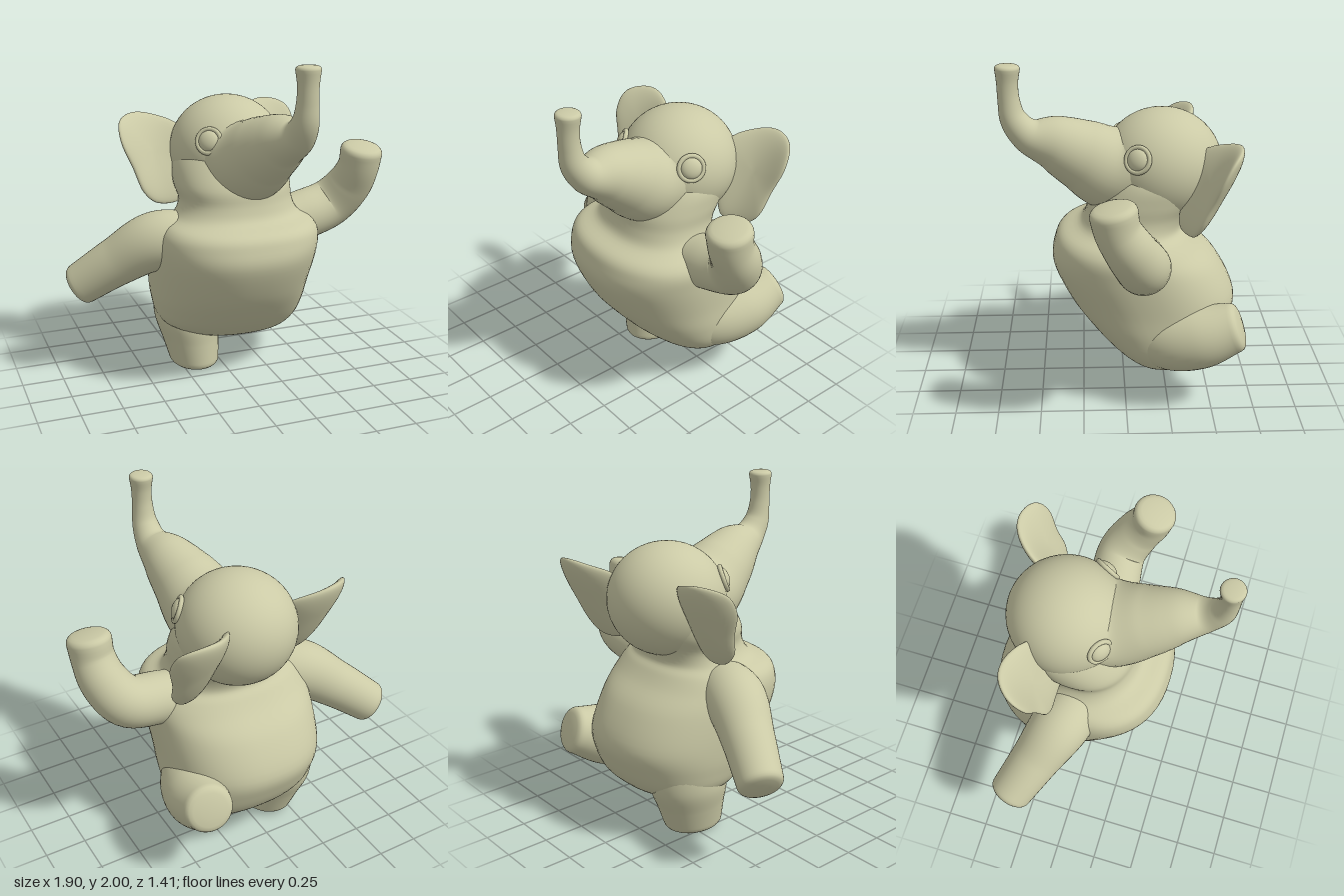
import * as THREE from 'three';

const V = (x, y, z) => new THREE.Vector3(x, y, z);
const SIDES = 40;

// Closed smooth surface through a list of loops, capped at both ends
function loft(rings) {
  const n = rings[0].length, pos = [], index = [];
  rings.forEach(r => r.forEach(p => pos.push(p.x, p.y, p.z)));
  for (let i = 0; i < rings.length - 1; i++) {
    for (let j = 0; j < n; j++) {
      const k = (j + 1) % n, a = i * n + j, b = i * n + k;
      index.push(a, b, a + n, b, b + n, a + n);
    }
  }
  [rings[0], rings[rings.length - 1]].forEach((ring, end) => {
    const c = ring.reduce((s, p) => s.add(p), V(0, 0, 0)).divideScalar(n);
    const id = pos.length / 3, base = end * (rings.length - 1) * n;
    pos.push(c.x, c.y, c.z);
    for (let j = 0; j < n; j++) {
      const a = base + j, b = base + (j + 1) % n;
      if (end) index.push(a, b, id); else index.push(b, a, id);
    }
  });
  const g = new THREE.BufferGeometry();
  g.setAttribute('position', new THREE.Float32BufferAttribute(pos, 3));
  g.setIndex(index);
  g.computeVertexNormals();
  return g;
}

// Limb of varying radius along a curve, with a softly rounded end; rows are x, y, z, radius
function limb(rows, steps = 36) {
  const curve = new THREE.CatmullRomCurve3(rows.map(r => V(r[0], r[1], r[2])));
  const radii = new THREE.CatmullRomCurve3(rows.map((r, i) => V(r[3], i, 0)), false, 'catmullrom');
  const f = curve.computeFrenetFrames(steps);
  const ring = (i, scale, push) => {
    const u = i / steps, full = radii.getPoint(curve.getUtoTmapping(u)).x, r = full * scale;
    const c = curve.getPointAt(u).addScaledVector(f.tangents[i], push * full);
    return Array.from({ length: SIDES }, (_, j) => {
      const a = j / SIDES * Math.PI * 2;
      return c.clone().addScaledVector(f.normals[i], Math.cos(a) * r)
        .addScaledVector(f.binormals[i], Math.sin(a) * r);
    });
  };
  const rings = [];
  for (let i = 0; i <= steps; i++) rings.push(ring(i, 1, 0));
  [[0.98, 0.1], [0.93, 0.19], [0.85, 0.26], [0.7, 0.31], [0.35, 0.35]]
    .forEach(([scale, push]) => rings.push(ring(steps, scale, push)));
  return loft(rings);
}

// Body and neck from horizontal sections; rows are y, x min, x max, z min, z max
function bodyGeometry() {
  const rows = [
    [0.2, 0.0, 0.34, -0.36, -0.14],
    [0.23, -0.2, 0.44, -0.45, -0.02],
    [0.32, -0.37, 0.51, -0.56, 0.1],
    [0.45, -0.42, 0.53, -0.63, 0.22],
    [0.6, -0.44, 0.53, -0.66, 0.33],
    [0.8, -0.45, 0.54, -0.56, 0.42],
    [0.92, -0.44, 0.54, -0.44, 0.41],
    [0.99, -0.4, 0.5, -0.38, 0.37],
    [1.04, -0.32, 0.43, -0.34, 0.26],
    [1.12, -0.28, 0.4, -0.36, 0.22],
    [1.22, -0.3, 0.4, -0.42, 0.2],
    [1.34, -0.28, 0.385, -0.45, 0.13],
    [1.46, -0.2, 0.3, -0.4, 0.05],
  ];
  const range = k => new THREE.CatmullRomCurve3(rows.map(r => V(r[k], r[0], r[k + 1])), false, 'catmullrom');
  const xs = range(1), zs = range(3), rings = [], steps = 60;
  const soft = v => Math.sign(v) * Math.abs(v) ** 0.88;
  for (let i = 0; i <= steps; i++) {
    const x = xs.getPoint(i / steps), z = zs.getPoint(i / steps);
    rings.push(Array.from({ length: 56 }, (_, j) => {
      const a = j / 56 * Math.PI * 2;
      return V((x.x + x.z) / 2 + soft(Math.sin(a)) * (x.z - x.x) / 2, x.y,
        (z.x + z.z) / 2 + soft(Math.cos(a)) * (z.z - z.x) / 2);
    }));
  }
  return loft(rings);
}

// Cupped ear, leaning back at the top; side is 1 for left, -1 for right
function earGeometry(side) {
  const outline = new THREE.CatmullRomCurve3([
    [0.22, 0.13], [0.36, 0.205], [0.5, 0.22], [0.6, 0.18], [0.62, 0.08], [0.57, -0.08],
    [0.53, -0.22], [0.45, -0.29], [0.31, -0.28], [0.24, -0.08],
  ].map(p => V(p[0], p[1], 0)), true);
  const loop = outline.getPoints(48).slice(0, 48);
  if (side > 0) loop.reverse();
  const rings = [];
  for (let i = 0; i <= 20; i++) {
    const a = Math.PI * (0.02 + 0.96 * i / 20), s = Math.sin(a) ** 0.8;
    rings.push(loop.map(p => {
      const x = 0.42 + (p.x - 0.42) * s, y = p.y * s;
      const cup = 2 * (x - 0.44) ** 2;
      return V(x * side, y, -0.2 - 0.5 * y + cup - Math.cos(a) * 0.05);
    }));
  }
  return loft(rings);
}

export function createModel() {
  const clay = new THREE.MeshStandardMaterial({ color: 0xcbcaa6 });
  clay.name = 'pale olive clay';
  const model = new THREE.Group();
  model.name = 'elephant';
  const add = (name, geometry, parent = model) => {
    const m = new THREE.Mesh(geometry, clay);
    m.name = name;
    parent.add(m);
    return m;
  };

  add('body', bodyGeometry());

  // Lowered right arm and raised, bent left arm
  add('rightArm', limb([
    [-0.18, 0.88, -0.04, 0.16], [-0.42, 0.875, -0.12, 0.178],
    [-0.64, 0.74, -0.22, 0.15], [-0.845, 0.587, -0.32, 0.13]]));
  add('leftArm', limb([
    [0.25, 0.9, -0.05, 0.15], [0.5, 0.95, -0.07, 0.155], [0.7, 1.01, -0.08, 0.15],
    [0.795, 1.14, -0.01, 0.138], [0.82, 1.27, 0.06, 0.125], [0.825, 1.365, 0.08, 0.128]]));

  // Standing right leg, slightly deeper than wide
  const standing = limb([
    [0, 0.5, 0, 0.18], [0, 0.32, 0, 0.2], [0, 0.17, 0, 0.175], [0, 0.055, 0, 0.155]]);
  const p = standing.attributes.position;
  for (let i = 0; i < p.count; i++) {
    p.setX(i, p.getX(i) - 0.16 - 0.1 * p.getY(i));
    p.setZ(i, p.getZ(i) * 1.22 - 0.21 - 0.2 * p.getY(i));
  }
  standing.computeVertexNormals();
  add('rightLeg', standing);

  // Left leg kicked backwards
  add('leftLeg', limb([
    [0.25, 0.47, -0.05, 0.12], [0.36, 0.42, -0.22, 0.19],
    [0.44, 0.45, -0.42, 0.19], [0.475, 0.52, -0.615, 0.145]]));

  // Head turned a little to its left
  const head = new THREE.Group();
  head.name = 'head';
  head.position.set(0.06, 1.38, -0.22);
  head.rotation.y = THREE.MathUtils.degToRad(12);
  model.add(head);
  add('skull', new THREE.SphereGeometry(1, 48, 32).scale(0.345, 0.33, 0.35), head);

  for (const side of [1, -1]) {
    const label = side > 0 ? 'left' : 'right';
    add(label + 'Ear', earGeometry(side), head);
    const eye = new THREE.Group();
    eye.name = label + 'Eye';
    eye.position.set(side * 0.25, 0.115, 0.21);
    eye.quaternion.setFromUnitVectors(V(0, 0, 1), eye.position.clone().normalize());
    head.add(eye);
    add('eyelid', new THREE.TorusGeometry(0.07, 0.014, 10, 32), eye);
    add('eyeball', new THREE.SphereGeometry(0.062, 24, 16).scale(1, 1, 0.55), eye);
  }

  // Trunk sweeping forward and up
  add('trunk', limb([
    [0.07, 1.36, -0.15, 0.29], [0.1, 1.37, 0.07, 0.25], [0.13, 1.46, 0.24, 0.205],
    [0.165, 1.54, 0.39, 0.16], [0.195, 1.6, 0.54, 0.1], [0.2, 1.69, 0.615, 0.076],
    [0.2, 1.8, 0.638, 0.061], [0.2, 1.9, 0.642, 0.06], [0.2, 1.975, 0.64, 0.07]], 60));

  return model;
}
